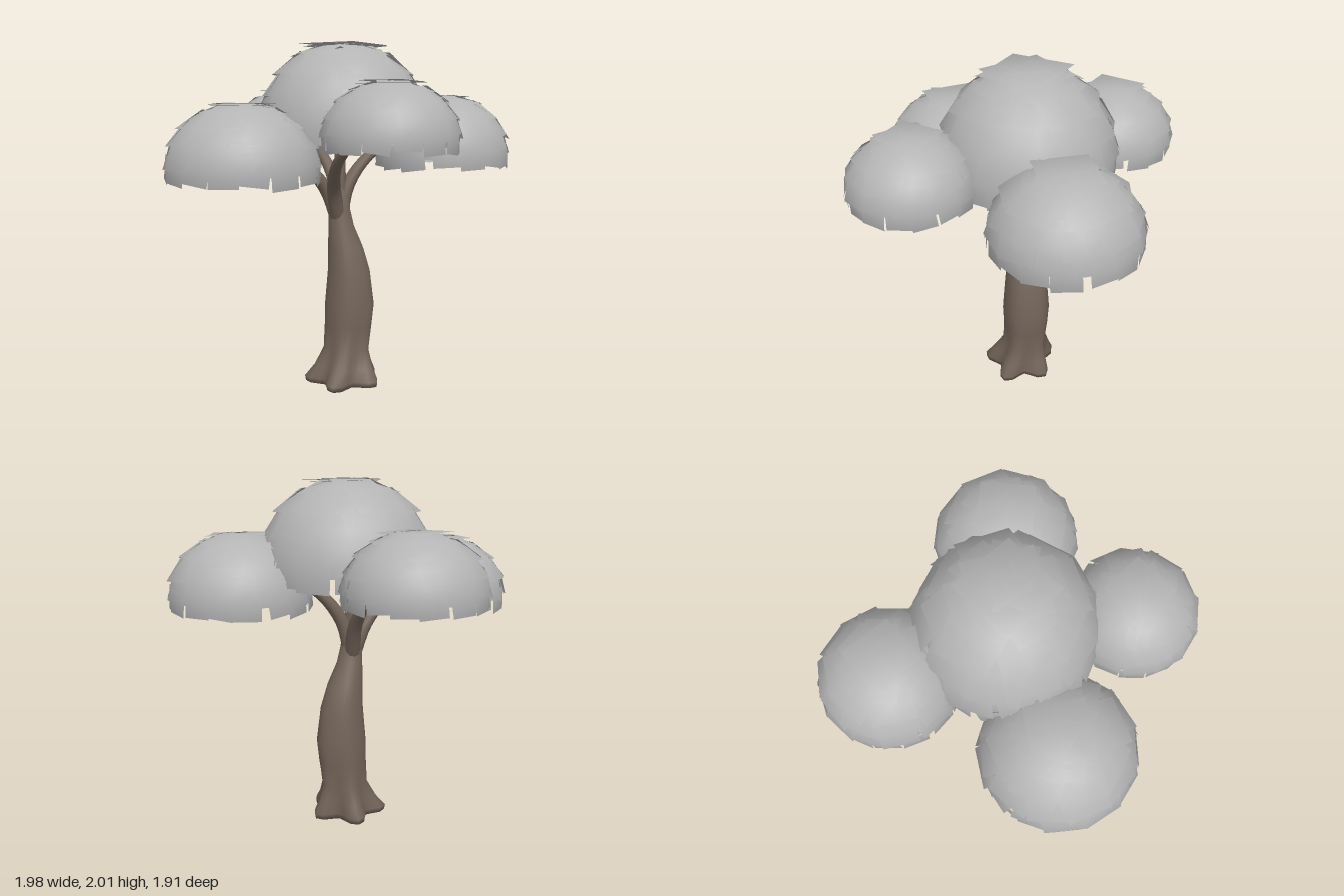
import * as THREE from 'three';
import { mergeGeometries } from 'three/addons/utils/BufferGeometryUtils.js';

const bark = new THREE.MeshStandardMaterial({ color: 0x74655a });
bark.name = 'bark';
const foliage = new THREE.MeshStandardMaterial({ color: 0xb4b4b4, side: THREE.DoubleSide });
foliage.name = 'foliage';

// small seeded generator for card jitter
let seed = 7;
const rand = () => {
  seed = (seed * 16807) % 2147483647;
  return seed / 2147483647 - 0.5;
};

// trunk sections: height, centre x, centre z, radius x, radius z, root lobe strength
const SECTIONS = [
  [0.01, -0.01, 0.01, 0.185, 0.185, 0.24],
  [0.04, -0.01, 0.01, 0.19, 0.185, 0.24],
  [0.11, 0.0, 0.0, 0.16, 0.165, 0.16],
  [0.21, 0.01, -0.015, 0.132, 0.132, 0.07],
  [0.35, 0.02, -0.02, 0.14, 0.137, 0.03],
  [0.48, 0.027, -0.02, 0.146, 0.143, 0.02],
  [0.68, 0.023, -0.02, 0.125, 0.127, 0.02],
  [0.82, 0.003, -0.013, 0.104, 0.103, 0.02],
  [0.95, -0.025, 0.0, 0.075, 0.068, 0],
  [1.05, -0.036, 0.003, 0.063, 0.057, 0],
  [1.12, -0.04, 0.005, 0.06, 0.05, 0],
  [1.18, -0.04, 0.005, 0.03, 0.03, 0],
];

function trunkGeometry() {
  const N = 30, pos = [], idx = [];
  for (const [y, cx, cz, rx, rz, lobe] of SECTIONS) {
    for (let i = 0; i < N; i++) {
      const a = (i / N) * Math.PI * 2;
      const k = 1 + lobe * Math.cos(5 * (a - Math.PI));
      pos.push(cx + Math.cos(a) * rx * k, y, cz + Math.sin(a) * rz * k);
    }
  }
  for (let s = 0; s < SECTIONS.length - 1; s++) {
    for (let i = 0; i < N; i++) {
      const a = s * N + i, b = s * N + ((i + 1) % N);
      idx.push(a, a + N, b, b, a + N, b + N);
    }
  }
  // underside
  const c = pos.length / 3;
  pos.push(-0.01, 0, 0.01);
  for (let i = 0; i < N; i++) idx.push(c, i, (i + 1) % N);
  const g = new THREE.BufferGeometry();
  g.setAttribute('position', new THREE.Float32BufferAttribute(pos, 3));
  g.setIndex(idx);
  g.computeVertexNormals();
  return g;
}

// tube whose rings shrink towards the tip, closed by a small ball
function branch(name, points, r0, r1) {
  const curve = new THREE.CatmullRomCurve3(points.map((p) => new THREE.Vector3(...p)));
  const segs = 14, sides = 10;
  const g = new THREE.TubeGeometry(curve, segs, 1, sides);
  const p = g.attributes.position, v = new THREE.Vector3();
  for (let i = 0; i < p.count; i++) {
    const t = Math.floor(i / (sides + 1)) / segs;
    const c = curve.getPointAt(t);
    v.fromBufferAttribute(p, i).sub(c).multiplyScalar(r0 + (r1 - r0) * t).add(c);
    p.setXYZ(i, v.x, v.y, v.z);
  }
  const group = new THREE.Group();
  group.name = name;
  const tip = new THREE.Mesh(new THREE.SphereGeometry(r1, 10, 6), bark);
  tip.position.copy(curve.getPointAt(1));
  group.add(new THREE.Mesh(g, bark), tip);
  return group;
}

// one flat leaf card tangent to an ellipsoid dome, shaded with the dome's normals
function card(R, H, phi, theta, w, h, twist, lift, tilt) {
  const dir = new THREE.Vector3(Math.sin(phi) * Math.cos(theta), Math.cos(phi), Math.sin(phi) * Math.sin(theta));
  const center = dir.clone().multiply(new THREE.Vector3(R, H, R));
  const n = dir.clone().divide(new THREE.Vector3(R, H, R)).normalize();
  const east = new THREE.Vector3(-Math.sin(theta), 0, Math.cos(theta));
  const up = new THREE.Vector3().crossVectors(east, n).normalize();
  if (up.y < 0) up.negate();
  up.addScaledVector(n, -tilt).normalize();
  const face = new THREE.Vector3().crossVectors(east, up).normalize();
  if (face.dot(n) < 0) { east.negate(); face.negate(); }
  const g = new THREE.PlaneGeometry(w, h, 2, 2);
  g.rotateZ(twist);
  g.applyMatrix4(new THREE.Matrix4().makeBasis(east, up, face));
  g.translate(center.x + n.x * lift, center.y + n.y * lift, center.z + n.z * lift);
  const p = g.attributes.position, nn = g.attributes.normal, v = new THREE.Vector3();
  for (let i = 0; i < p.count; i++) {
    v.fromBufferAttribute(p, i).divide(new THREE.Vector3(R * R, H * H, R * R));
    v.normalize();
    nn.setXYZ(i, v.x, v.y, v.z);
  }
  return g;
}

// open dome covered with overlapping rings of cards
function canopy(name, x, z, y0, y1, radius) {
  const R = radius * 0.95, skirt = 0.07, H = y1 - y0 - skirt - 0.008;
  const parts = [];
  const shell = new THREE.SphereGeometry(1, 28, 10, 0, Math.PI * 2, 0, Math.PI / 2);
  shell.scale(R * 0.96, H * 0.97, R * 0.96);
  parts.push(shell);
  // polar angle, count, card height, width factor, outward tilt
  const rings = [
    [0.36, 6, 0.5, 1.35, 0.04],
    [0.68, 8, 0.46, 1.25, 0.06],
    [1.0, 11, 0.42, 1.2, 0.06],
    [1.3, 13, 0.36, 1.15, 0.05],
    [1.54, 16, 0.34, 1.0, 0.0],
  ];
  for (const [phi, count, h, wf, tilt] of rings) {
    const w = ((2 * Math.PI * R * Math.sin(phi)) / count) * wf;
    const start = rand() * 6;
    for (let i = 0; i < count; i++) {
      const theta = start + ((i + rand() * 0.3) / count) * Math.PI * 2;
      parts.push(card(R, H, phi + rand() * 0.08, theta, w, h * R, rand() * 0.3, 0.004 + rand() * 0.008, tilt));
    }
  }
  // crown plates
  for (let i = 0; i < 2; i++) {
    parts.push(card(R, H, 0.02, i * 2.2 + rand() * 6, R * 0.78, R * 0.78, 0.4 + i * 0.7, 0.006 - i * 0.01, 0));
  }
  const mesh = new THREE.Mesh(mergeGeometries(parts), foliage);
  mesh.name = name;
  mesh.position.set(x, y0 + skirt, z);
  return mesh;
}

export function createModel() {
  const tree = new THREE.Group();
  tree.name = 'tree';

  const trunk = new THREE.Mesh(trunkGeometry(), bark);
  trunk.name = 'trunk';
  tree.add(trunk);

  // branches
  tree.add(
    branch('frontBranch', [[-0.045, 1.0, 0.01], [-0.07, 1.18, 0.1], [-0.06, 1.33, 0.29], [0.02, 1.47, 0.47]], 0.048, 0.022),
    branch('leftBranch', [[-0.035, 1.0, 0], [0.02, 1.2, -0.02], [0.15, 1.37, -0.06], [0.4, 1.52, -0.11]], 0.048, 0.02),
    branch('backBranch', [[-0.04, 1.0, -0.01], [-0.06, 1.2, -0.11], [-0.14, 1.37, -0.26], [-0.3, 1.52, -0.48]], 0.048, 0.02),
    branch('rightBranch', [[-0.045, 1.0, 0.005], [-0.12, 1.18, 0.03], [-0.25, 1.33, 0.11], [-0.45, 1.45, 0.25]], 0.048, 0.02),
    branch('middleBranch', [[-0.04, 1.03, 0], [-0.03, 1.4, -0.01], [-0.02, 1.75, -0.03]], 0.045, 0.02),
  );

  // leaf canopies
  tree.add(
    canopy('topCanopy', -0.01, -0.03, 1.43, 2.0, 0.5),
    canopy('rightCanopy', -0.56, 0.33, 1.23, 1.66, 0.42),
    canopy('backCanopy', -0.35, -0.58, 1.36, 1.75, 0.375),
    canopy('leftCanopy', 0.58, -0.13, 1.28, 1.71, 0.405),
    canopy('frontCanopy', 0.195, 0.61, 1.4, 1.77, 0.35),
  );
  return tree;
}
